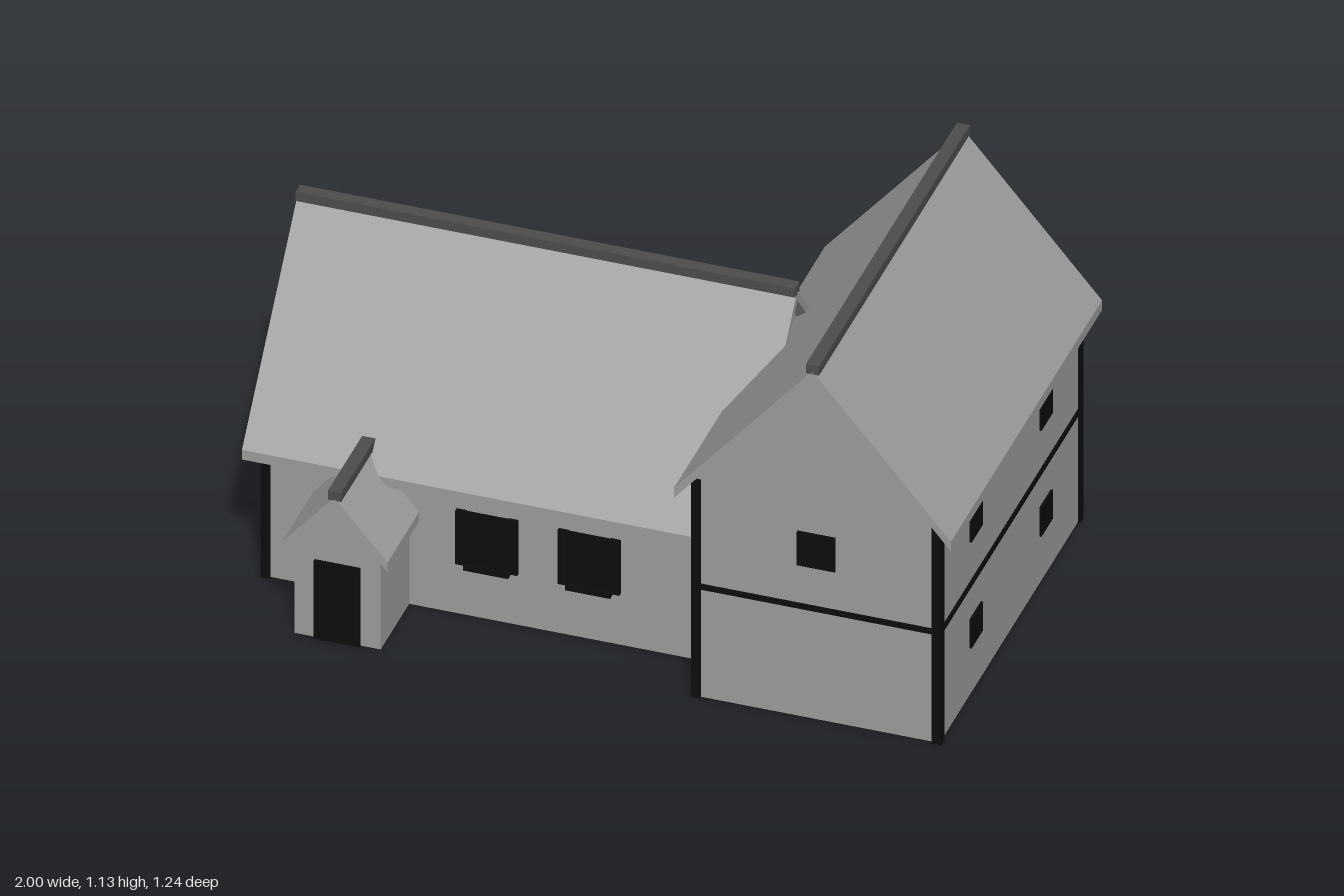
import * as THREE from 'three';

const material = (name, color) => {
  const m = new THREE.MeshStandardMaterial({ color });
  m.name = name;
  return m;
};

export function createModel() {
  const plaster = material('grey plaster and roofing', 0x9c9c9c);
  const ridgeGrey = material('dark ridge grey', 0x4c4c4c);
  const timber = material('black timber', 0x0c0c0c);

  const house = new THREE.Group();
  house.name = 'house';

  const add = (parent, name, geometry, mat) => {
    const mesh = new THREE.Mesh(geometry, mat);
    mesh.name = name;
    parent.add(mesh);
    return mesh;
  };

  // Box given by its limits on each axis
  const box = (parent, name, mat, [x0, x1], [y0, y1], [z0, z1]) => {
    const mesh = add(parent, name, new THREE.BoxGeometry(x1 - x0, y1 - y0, z1 - z0), mat);
    mesh.position.set((x0 + x1) / 2, (y0 + y1) / 2, (z0 + z1) / 2);
    return mesh;
  };

  // Cross-section pushed from z0 to z1
  const prism = (points, z0, z1) => {
    const shape = new THREE.Shape(points.map(([x, y]) => new THREE.Vector2(x, y)));
    const g = new THREE.ExtrudeGeometry(shape, { depth: z1 - z0, bevelEnabled: false });
    return g.translate(0, 0, z0);
  };

  // Gabled block: ridge along local z, walls, two-slope roof and ridge cap
  const SLOPE = 1.18, THICK = 0.03;
  const gabled = (name, { wall, eave, eaveY, walls, roof, cap }) => {
    const group = new THREE.Group();
    group.name = name;
    house.add(group);
    const under = (x) => eaveY + (eave - Math.abs(x)) * SLOPE;
    const lift = 0.005;
    add(group, name + 'Walls', prism([
      [-wall, 0.003], [wall, 0.003], [wall, under(wall) + lift],
      [0, under(0) + lift], [-wall, under(wall) + lift],
    ], ...walls), plaster);
    add(group, name + 'Roof', prism([
      [-eave, eaveY], [0, under(0)], [eave, eaveY],
      [eave, eaveY + THICK], [0, under(0) + THICK], [-eave, eaveY + THICK],
    ], ...roof), plaster);
    const top = under(0) + THICK;
    box(group, name + 'RidgeCap', ridgeGrey, [-0.018, 0.018], [top - 0.01, top + 0.018], cap);
    return group;
  };

  // Tall cross wing, low long wing (turned so its ridge runs along x) and porch
  const tall = gabled('tallWing', {
    wall: 0.335, eave: 0.38, eaveY: 0.635,
    walls: [-0.58, 0.53], roof: [-0.62, 0.57], cap: [-0.62, 0.57],
  });
  tall.position.x = 0.62;

  const long = gabled('longWing', {
    wall: 0.4, eave: 0.44, eaveY: 0.38,
    walls: [-0.955, 0.33], roof: [-1, 0.37], cap: [-1, 0.37],
  });
  long.rotation.y = Math.PI / 2;
  long.position.z = -0.03;

  const porch = gabled('porch', {
    wall: 0.118, eave: 0.145, eaveY: 0.265,
    walls: [0.3, 0.595], roof: [0.34, 0.62], cap: [0.35, 0.62],
  });
  porch.position.x = -0.673;
  box(porch, 'door', timber, [-0.063, 0.063], [0.002, 0.245], [0.594, 0.603]);

  // Corner posts
  const post = (x, z, height) =>
    box(house, 'cornerPost', timber, [x - 0.013, x + 0.013], [0, height], [z - 0.013, z + 0.013]);
  for (const x of [0.288, 0.948]) for (const z of [-0.572, 0.522]) post(x, z, 0.68);
  for (const z of [-0.422, 0.362]) post(-0.948, z, 0.42);

  // Floor beam wrapped round the tall wing
  box(house, 'floorBeam', timber, [0.28, 0.96], [0.34, 0.356], [-0.585, 0.535]);

  // Small square windows of the tall wing
  for (const y of [0.195, 0.525]) for (const z of [0.25, -0.3]) {
    box(house, 'sideWindow', timber, [0.954, 0.961], [y - 0.045, y + 0.045], [z - 0.045, z + 0.045]);
  }
  box(house, 'frontWindow', timber, [0.565, 0.67], [0.475, 0.58], [0.529, 0.536]);

  // Shuttered windows of the long wing: pane, two shutters and a sill
  const shuttered = (x, z, turn) => {
    const w = new THREE.Group();
    w.name = 'shutteredWindow';
    w.position.set(x, 0, z);
    w.rotation.y = turn;
    house.add(w);
    box(w, 'pane', timber, [-0.06, 0.06], [0.165, 0.328], [-0.002, 0.007]);
    for (const s of [-1, 1]) {
      box(w, 'shutter', timber, [s * 0.071 - 0.014, s * 0.071 + 0.014], [0.163, 0.33], [-0.002, 0.012]);
    }
    box(w, 'sill', timber, [-0.062, 0.062], [0.152, 0.168], [-0.002, 0.018]);
  };
  shuttered(-0.34, 0.37, 0);
  shuttered(-0.06, 0.37, 0);
  shuttered(-0.45, -0.43, Math.PI);

  return house;
}
